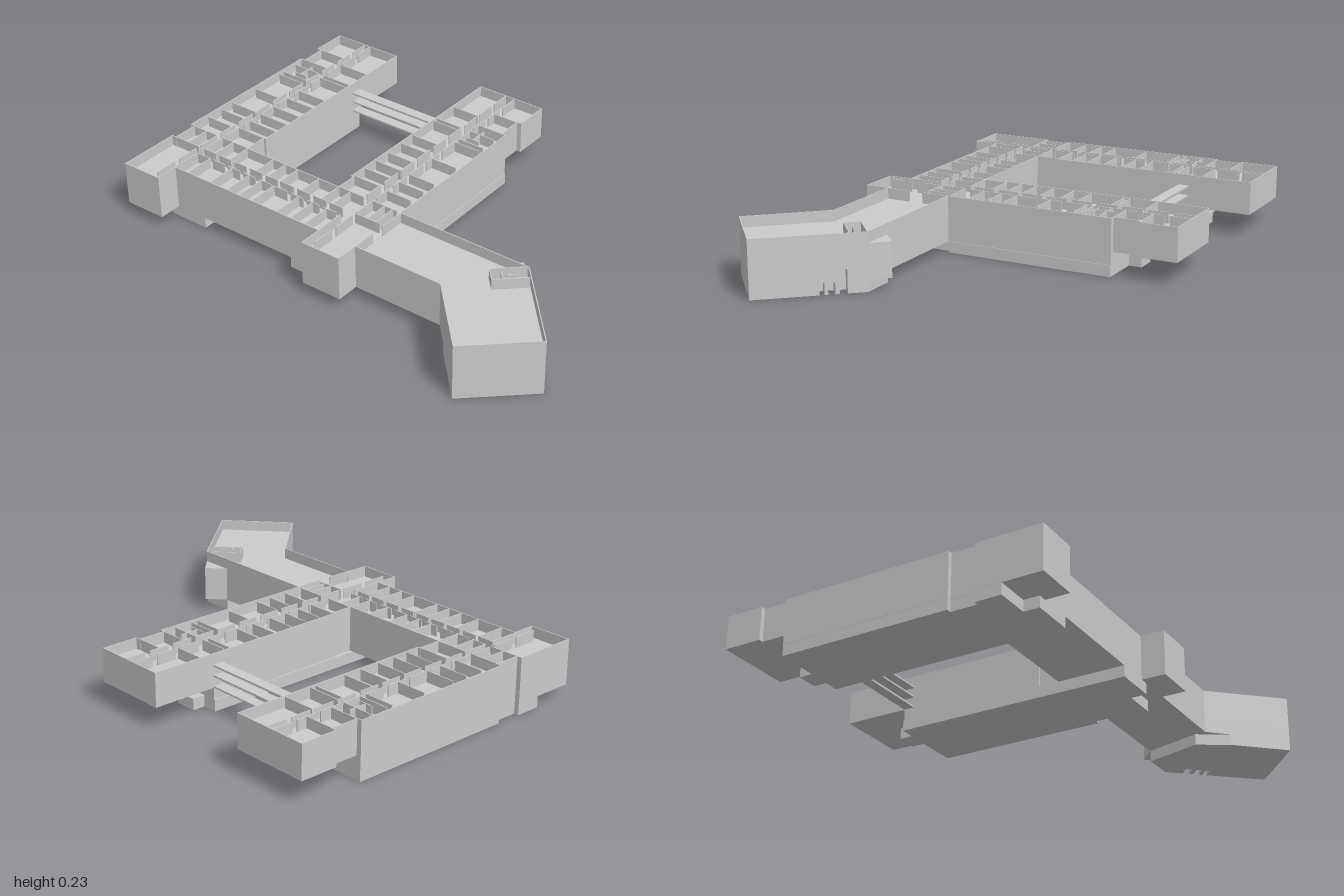
import * as THREE from 'three';

const LOW = 0.047, MID = 0.096, FLOOR = 0.19, TOP = 0.235, T = 0.004;

export function createModel() {
  const model = new THREE.Group();
  const mat = new THREE.MeshStandardMaterial({ color: 0xcccccc, flatShading: true, side: THREE.DoubleSide });

  function add(geometry, name) {
    const mesh = new THREE.Mesh(geometry, mat);
    mesh.name = name;
    model.add(mesh);
  }

  const toPath = (pts) => pts.map(([x, z]) => new THREE.Vector2(x, -z));

  // Upright prism over a plan polygon of [x, z] points, with an optional hole
  function prism(name, pts, y0, y1, hole) {
    const shape = new THREE.Shape(toPath(pts));
    if (hole) shape.holes.push(new THREE.Path(toPath(hole).reverse()));
    const g = new THREE.ExtrudeGeometry(shape, { depth: y1 - y0, bevelEnabled: false });
    g.rotateX(-Math.PI / 2).translate(0, y0, 0);
    add(g, name);
  }

  // Plan polygon moved inward by d, with mitred corners
  function inset(pts, d) {
    const n = pts.length;
    const area = pts.reduce((s, [x, z], i) => {
      const [u, w] = pts[(i + 1) % n];
      return s + x * w - u * z;
    }, 0);
    const s = Math.sign(area);
    const normal = (a, b) => {
      const l = Math.hypot(b[0] - a[0], b[1] - a[1]);
      return [-s * (b[1] - a[1]) / l, s * (b[0] - a[0]) / l];
    };
    return pts.map((p, i) => {
      const a = normal(pts[(i + n - 1) % n], p), b = normal(p, pts[(i + 1) % n]);
      const k = d / (1 + a[0] * b[0] + a[1] * b[1]);
      return [p[0] + k * (a[0] + b[0]), p[1] + k * (a[1] + b[1])];
    });
  }

  // Thin partition on the top floor between two plan points
  function wall(name, x0, z0, x1, z1) {
    const g = new THREE.BoxGeometry(Math.hypot(x1 - x0, z1 - z0), TOP - FLOOR, T);
    g.rotateY(-Math.atan2(z1 - z0, x1 - x0));
    g.translate((x0 + x1) / 2, (FLOOR + TOP) / 2, (z0 + z1) / 2);
    add(g, name);
  }

  // Doorway recess in the slanted east face, as plan points
  function doorway(z0, z1) {
    const x = (z) => 0.707 + (z - 0.222) * 0.88;
    return [[x(z0), z0], [x(z0) - 0.038, z0 + 0.033], [x(z1) - 0.038, z1 + 0.033], [x(z1), z1]];
  }

  // Plan outline: two wings, the front bar and the angled east wing
  const corner = [0.707, 0.222], tip = [1, 0.555];
  const leftBack = [[-0.98, -0.5], [-0.98, -0.615], [-1, -0.615], [-1, -0.775], [-0.67, -0.775]];
  const rightBack = [[-0.21, -0.775], [0.11, -0.775], [0.11, -0.615], [0.09, -0.615], [0.09, -0.5]];
  const tallDoor = doorway(0.28, 0.302);
  const outline = (lb, rb, doors) => [
    [-1, 0.22], [-1, -0.5], ...lb,
    [-0.67, 0.12], [-0.68, 0.12], [-0.68, 0.22], [-0.2, 0.22], [-0.2, 0.13], [-0.21, 0.13],
    ...rb, [0.11, -0.5], [0.11, 0.22], corner, ...doors, tip, [0.755, 0.774], [0.505, 0.506],
    [0.11, 0.506], [0.11, 0.606], [-0.07, 0.606], [-0.07, 0.506],
    [-0.815, 0.506], [-0.815, 0.606], [-1, 0.606], [-1, 0.33], [-0.98, 0.33], [-0.98, 0.22],
  ];
  const upper = outline(leftBack, rightBack, []);

  // Stacked storeys; the rear ends of the wings overhang
  prism('middleStoreys', upper, MID, FLOOR);
  prism('firstStorey', outline([[-0.67, -0.5]], [[-0.21, -0.5]], tallDoor), LOW, MID);
  prism('angledWingBase', [[0.57, 0.222], corner, ...tallDoor, ...doorway(0.315, 0.335),
    ...doorway(0.345, 0.36), tip, [0.755, 0.774], [0.58, 0.586], [0.505, 0.46]], 0, LOW);
  prism('outerWalls', upper, FLOOR, TOP, inset(upper, T));

  // Ground storey under each wing, mirrored about the courtyard axis
  const axis = -0.443;
  for (const side of [-1, 1]) {
    const m = (pts) => pts.map(([x, z]) => [axis + side * x, z]);
    prism('wingGroundStorey', m([[0.227, -0.5], [0.556, -0.5], [0.556, 0.22], [0.536, 0.22],
      [0.536, 0.33], [0.556, 0.33], [0.556, 0.44], [0.41, 0.44], [0.41, 0.506], [0.227, 0.506]]), 0, LOW);
    prism('rearPorch', m([[0.29, -0.555], [0.38, -0.555], [0.38, -0.49], [0.29, -0.49]]), 0, LOW);
  }

  // Walkways between the wings
  for (const y of [MID, 0.141, 0.183]) {
    const g = new THREE.BoxGeometry(0.48, 0.007, 0.045);
    g.translate(axis, y + 0.0035, -0.478);
    add(g, 'walkway');
  }

  // Corridor walls, broken by doorways
  function corridor(x, z0, z1, count) {
    const step = (z1 - z0) / count;
    for (let i = 0; i < count; i++) wall('corridorWall', x, z0 + i * step, x, z0 + (i + 0.8) * step);
  }
  for (const x of [-0.85, -0.82, -0.075, -0.03]) corridor(x, -0.77, 0.22, 9);
  for (const x of [-0.85, -0.03]) corridor(x, 0.22, 0.6, 3);
  for (let i = 0; i < 9; i++) {
    const x = -0.82 + i * 0.083;
    for (const z of [0.33, 0.37]) wall('corridorWall', x, z, x + 0.065, z);
  }

  // Room partitions in the wings
  const innerZ = [-0.56, -0.44, -0.415, -0.27, -0.19, -0.1, -0.02, 0.05, 0.12, 0.22];
  const outerZ = [-0.615, -0.5, -0.44, -0.36, -0.33, -0.17, -0.02, 0.05, 0.13, 0.22, 0.33];
  for (const z of innerZ) {
    wall('roomPartition', -0.82, z, -0.68, z);
    wall('roomPartition', -0.2, z, -0.075, z);
  }
  for (const z of outerZ) {
    wall('roomPartition', -0.98, z, -0.85, z);
    wall('roomPartition', -0.03, z, 0.09, z);
  }
  // Stair enclosures near the rear of the wings
  for (const x of [-0.91, 0.02]) {
    wall('stairPartition', x, -0.47, x, -0.39);
    wall('stairPartition', x - 0.03, -0.39, x + 0.03, -0.39);
  }
  // Room partitions in the front bar
  for (const x of [-0.82, -0.75, -0.63, -0.54, -0.475, -0.41, -0.28, -0.21, -0.14, -0.07])
    wall('roomPartition', x, 0.37, x, 0.504);
  for (const x of [-0.91, -0.82, -0.76, -0.68, -0.54, -0.475, -0.41, -0.3, -0.2, -0.14, 0.03, 0.07])
    wall('roomPartition', x, 0.222, x, 0.33);
  wall('barEndWall', 0.11, 0.222, 0.11, 0.34);
  wall('barEndWall', 0.11, 0.4, 0.11, 0.504);

  // Stair tower at the corner of the angled wing
  prism('stairTower', [[0.57, 0.222], [0.64, 0.157], [0.71, 0.226], [0.64, 0.3]], LOW, FLOOR);
  const stair = [[0.745, 0.275], [0.64, 0.37], [0.595, 0.32], [0.7, 0.225]];
  for (let i = 0; i < 3; i++) wall('stairEnclosure', ...stair[i], ...stair[i + 1]);
  wall('stairEnclosure', 0.67, 0.31, 0.7, 0.283);
  wall('stairEnclosure', 0.64, 0.31, 0.67, 0.345);

  return model;
}
